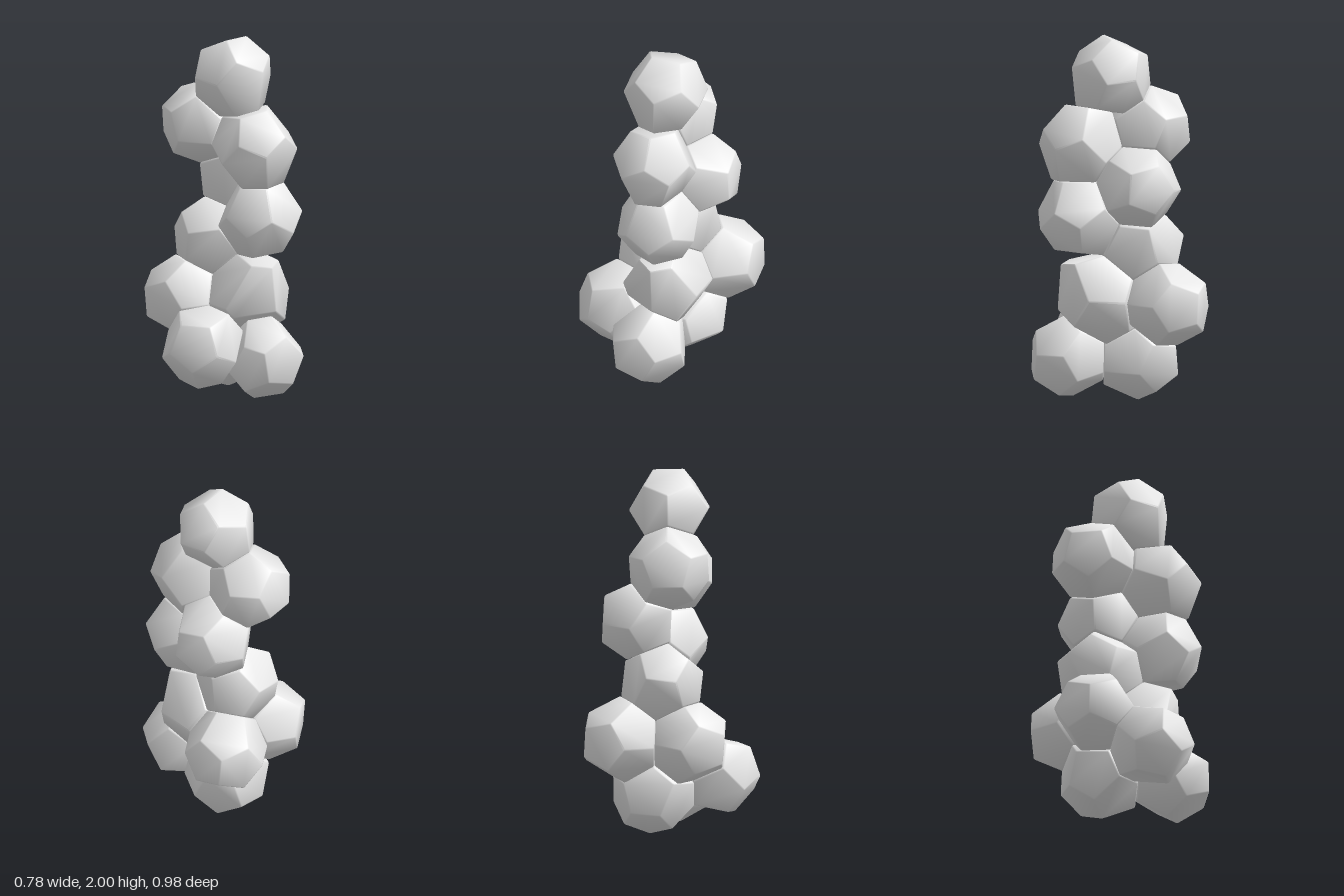
import * as THREE from 'three';
import { ConvexGeometry } from 'three/addons/geometries/ConvexGeometry.js';
import { toCreasedNormals } from 'three/addons/utils/BufferGeometryUtils.js';

const V = (x, y, z) => new THREE.Vector3(x, y, z);
const INRADIUS = 0.186; // free faces lie this far from their cell's centre
const REACH = 0.5;      // cells closer than this share a face
const BEVEL = 0.05;     // how far each face shrinks to leave a chamfer

// Cell centres, from the top down
const CENTRES = [
  [0.055, 1.787, 0.06], [0.13, 1.412, 0.22], [-0.06, 1.494, -0.135], [0.153, 1.19, -0.12],
  [0.162, 1.015, 0.22], [0.0, 0.848, -0.105], [-0.175, 0.527, -0.103], [0.13, 0.562, 0.12],
  [0.157, 0.54, -0.293], [-0.17, 0.307, 0.212], [0.155, 0.238, 0.282], [0.065, 0.23, -0.105],
].map((c) => V(...c));

// Shared faces that are not midway: cell, neighbour, point on the face,
// outward normal, and whether the whole cell turns to follow the face
const SEAMS = [
  [0, 1, V(0.09, 1.604, 0.14), V(0.22, -1, 0.12), false],
  [1, 0, V(0.09, 1.602, 0.14), V(-0.22, 1, -0.12), false],
  [4, 7, V(0.145, 0.812, 0.17), V(0.15, -1, 0.08), false],
  [7, 10, V(0.14, 0.402, 0.18), V(0, -0.82, 0.57), false],
  [10, 7, V(0.14, 0.4, 0.18), V(0, 0.82, -0.57), true],
  [7, 11, V(0.1, 0.362, -0.02), V(0, -0.87, -0.5), false],
  [11, 7, V(0.1, 0.36, -0.02), V(0, 0.87, 0.5), false],
  [9, 10, V(-0.006, 0.28, 0.245), V(0.9, -0.4, 0.13), true],
  [10, 9, V(-0.004, 0.28, 0.245), V(-0.9, 0.4, -0.13), true],
];

// The twelve face normals of a dodecahedron
const NORMALS = [];
const PHI = (1 + Math.sqrt(5)) / 2;
for (const a of [-1, 1]) for (const b of [-PHI, PHI]) {
  NORMALS.push(V(0, a, b).normalize(), V(a, b, 0).normalize(), V(b, 0, a).normalize());
}

// Corners: triples of faces that touch each other
const CORNERS = [];
const touch = (i, j) => NORMALS[i].dot(NORMALS[j]) > 0.4;
for (let i = 0; i < 12; i++) for (let j = i + 1; j < 12; j++) for (let k = j + 1; k < 12; k++) {
  if (touch(i, j) && touch(j, k) && touch(i, k)) CORNERS.push([i, j, k]);
}

function nearest(normals, d) {
  let best = 0;
  normals.forEach((n, i) => { if (n.dot(d) > normals[best].dot(d)) best = i; });
  return best;
}

// Turn a dodecahedron until its faces point along the given directions
function orient(dirs) {
  let best = null, bestScore = -Infinity;
  for (let s = 0; s < 12; s++) {
    const q = new THREE.Quaternion().setFromUnitVectors(NORMALS[0], dirs[0]);
    q.premultiply(new THREE.Quaternion().setFromAxisAngle(dirs[0], (s / 12) * Math.PI * 0.4));
    let normals, score;
    for (let step = 0; step < 80; step++) {
      normals = NORMALS.map((n) => n.clone().applyQuaternion(q));
      const turn = V(0, 0, 0);
      score = 0;
      for (const d of dirs) {
        const n = normals[nearest(normals, d)];
        turn.add(n.clone().cross(d));
        score += n.dot(d);
      }
      const angle = turn.length() * 0.6 / dirs.length;
      if (angle < 1e-6) break;
      q.premultiply(new THREE.Quaternion().setFromAxisAngle(turn.normalize(), angle)).normalize();
    }
    if (score > bestScore) { bestScore = score; best = normals; }
  }
  return best;
}

// Point where three planes (normal, distance) meet
function meet(a, b, c) {
  const bc = b.n.clone().cross(c.n), ca = c.n.clone().cross(a.n), ab = a.n.clone().cross(b.n);
  const det = a.n.dot(bc);
  return bc.multiplyScalar(a.d).addScaledVector(ca, b.d).addScaledVector(ab, c.d).divideScalar(det);
}

// One chamfered cell, with faces shared with its neighbours
function cellGeometry(index) {
  const centre = CENTRES[index];
  const shared = [];
  CENTRES.forEach((c, other) => {
    if (other === index || c.distanceTo(centre) > REACH) return;
    const offset = c.clone().sub(centre);
    const dir = offset.clone().normalize();
    const seam = SEAMS.find((s) => s[0] === index && s[1] === other);
    const n = seam ? seam[3].clone().normalize() : dir;
    const d = seam ? seam[2].clone().sub(centre).dot(n) : offset.length() / 2 - 0.001;
    shared.push({ n, d, aim: seam && seam[4] ? n : dir });
  });
  const normals = orient(shared.map((s) => s.aim));
  const planes = normals.map((n) => ({ n, d: INRADIUS }));
  shared.forEach((s) => { planes[nearest(normals, s.aim)] = s; });

  const corners = CORNERS.map((t) => meet(planes[t[0]], planes[t[1]], planes[t[2]]));
  const points = [];
  for (let f = 0; f < 12; f++) {
    const ring = corners.filter((_, i) => CORNERS[i].includes(f));
    const mid = V(0, 0, 0);
    ring.forEach((p) => mid.addScaledVector(p, 1 / ring.length));
    ring.forEach((p) => points.push(p.clone().lerp(mid, BEVEL)));
  }
  // Soft shading across the chamfers
  return toCreasedNormals(new ConvexGeometry(points), 0.75);
}

export function createModel() {
  const model = new THREE.Group();
  model.name = 'cellStack';
  const stone = new THREE.MeshStandardMaterial({ color: 0xe7e7e7 });
  stone.name = 'paleGrey';

  CENTRES.forEach((centre, i) => {
    const cell = new THREE.Mesh(cellGeometry(i), stone);
    cell.name = `cell${i + 1}`;
    cell.position.copy(centre);
    model.add(cell);
  });
  return model;
}
